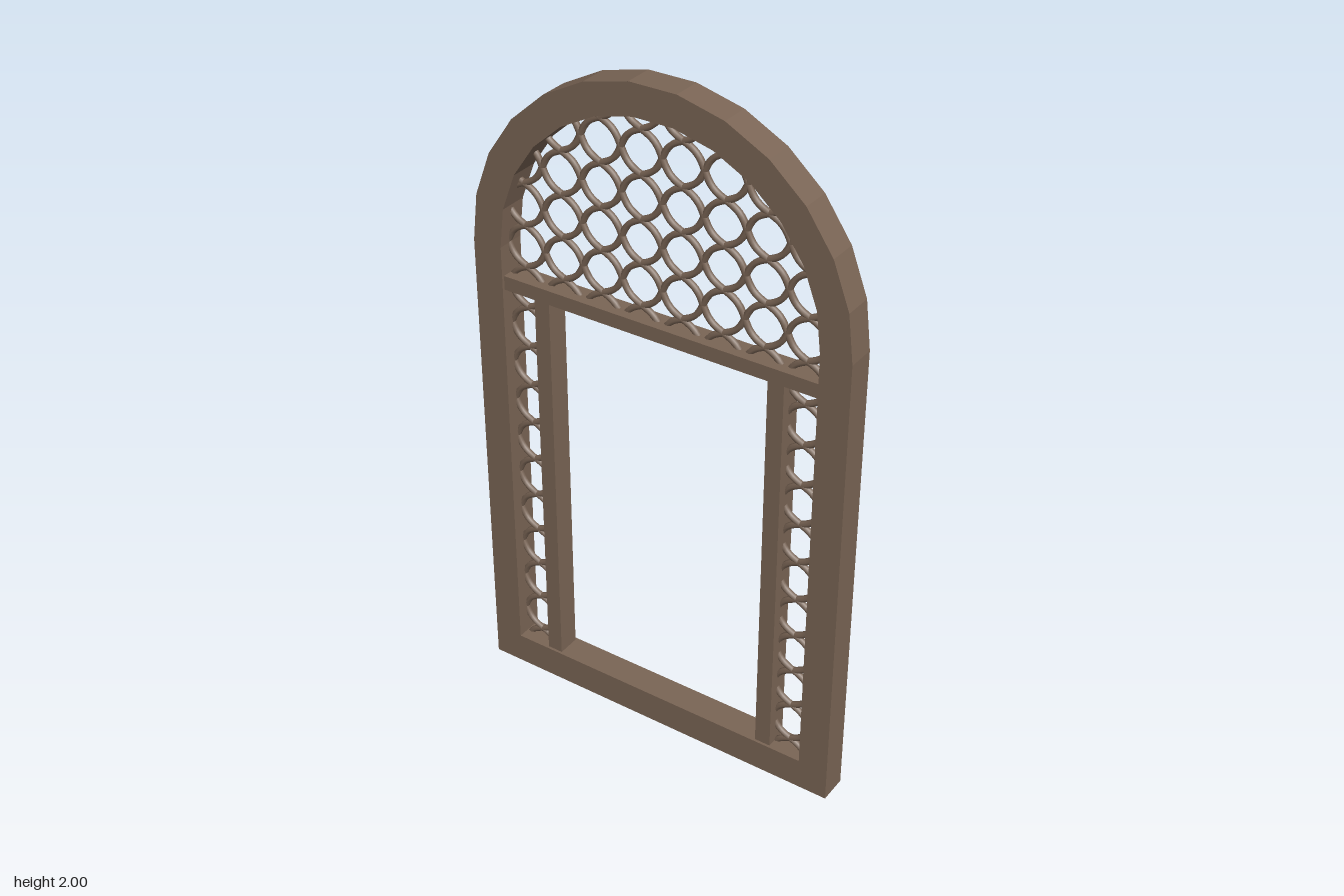
import * as THREE from 'three';
import { mergeGeometries } from 'three/addons/utils/BufferGeometryUtils.js';

const SPRING = 1.424;           // height where the arch begins
const INNER = 0.49, OUTER = 0.58;
const SILL = 0.095;

export function createModel() {
  const group = new THREE.Group();
  const wood = new THREE.MeshStandardMaterial({ color: 0x7a6555 });
  wood.name = 'brown wood';

  const add = (name, geometry) => {
    const mesh = new THREE.Mesh(geometry, wood);
    mesh.name = name;
    group.add(mesh);
    return mesh;
  };

  // Outline of a round-headed opening, with a faceted arch
  const archPoints = (radius, bottom) => {
    const pts = [new THREE.Vector2(-radius, bottom), new THREE.Vector2(radius, bottom)];
    const n = 13;
    for (let i = 0; i <= n; i++) {
      const a = (i / n) * Math.PI;
      pts.push(new THREE.Vector2(radius * Math.cos(a), SPRING + radius * Math.sin(a)));
    }
    return pts;
  };

  // Arched outer frame
  const frame = new THREE.Shape(archPoints(OUTER, 0));
  frame.holes.push(new THREE.Path(archPoints(INNER, SILL)));
  const frameGeo = new THREE.ExtrudeGeometry(frame, { depth: 0.086, bevelEnabled: false });
  frameGeo.translate(0, 0, -0.043);
  add('archFrame', frameGeo);

  // Transom and the two inner posts
  add('transom', new THREE.BoxGeometry(2 * INNER, 0.042, 0.07)).position.set(0, 1.314, 0);
  for (const side of [-1, 1]) {
    add(side > 0 ? 'leftPost' : 'rightPost', new THREE.BoxGeometry(0.048, 1.2, 0.07))
      .position.set(side * 0.365, 0.695, 0);
  }

  // Lattice of wavy diagonal rods, cut to the region where inside(x, y) is true
  const pitch = 0.1243, cell = pitch / Math.SQRT2;
  const x0 = -0.435, y0 = 1.365, wave = 0.011, steps = 8;
  const lattice = (inside) => {
    const rods = [];
    const finish = (run) => {
      if (run.length < 3) return;
      const curve = new THREE.CatmullRomCurve3(run);
      rods.push(new THREE.TubeGeometry(curve, run.length - 1, 0.0095, 6, false));
    };
    for (const flip of [false, true]) {
      for (let n = -24; n <= 24; n++) {
        let run = [];
        for (let i = -24 * steps; i <= 24 * steps; i++) {
          const along = (i / steps) * cell;
          const across = n * cell - wave * Math.sin((Math.PI * i) / steps) * (n % 2 ? -1 : 1);
          const u = flip ? along : across, v = flip ? across : along;
          const x = x0 + (u - v) / Math.SQRT2, y = y0 + (u + v) / Math.SQRT2;
          if (inside(x, y)) run.push(new THREE.Vector3(x, y, 0));
          else { finish(run); run = []; }
        }
        finish(run);
      }
    }
    return mergeGeometries(rods);
  };

  // Lattice filling the arch head
  add('archLattice', lattice((x, y) =>
    y > 1.315 && Math.abs(x) < INNER + 0.015 &&
    (y < SPRING || Math.hypot(x, y - SPRING) < INNER + 0.012)));

  // Lattice strips beside the opening
  for (const side of [-1, 1]) {
    add(side > 0 ? 'leftLattice' : 'rightLattice', lattice((x, y) =>
      y > SILL - 0.015 && y < 1.31 && x * side > 0.38 && x * side < INNER + 0.015));
  }

  return group;
}
